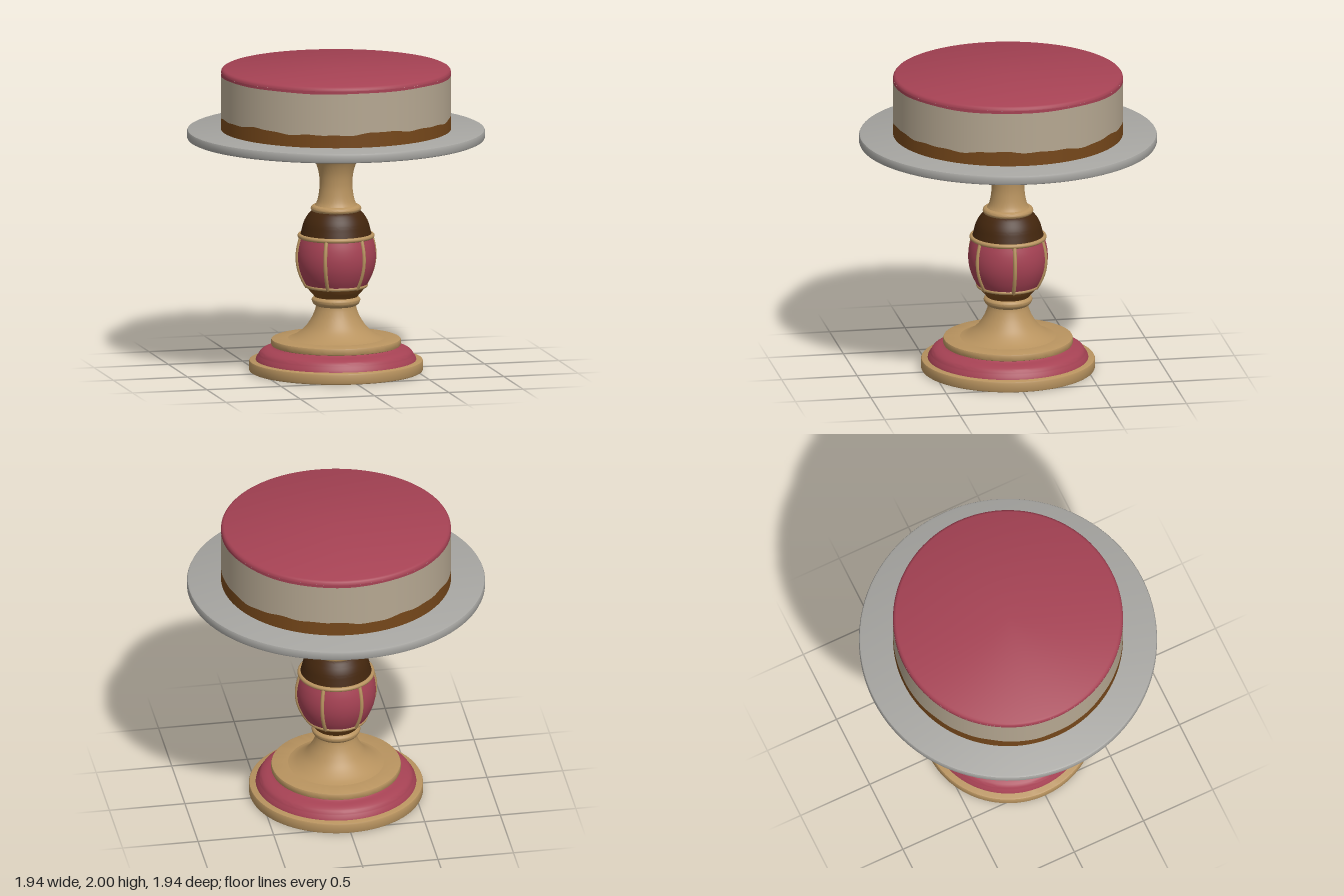
import * as THREE from 'three';
import { toCreasedNormals } from 'three/addons/utils/BufferGeometryUtils.js';

const SEGMENTS = 96;

function material(name, color) {
  const m = new THREE.MeshStandardMaterial({ color });
  m.name = name;
  return m;
}

// Smooth curve through [radius, height] points
function smooth(points, divisions = 24) {
  const curve = new THREE.SplineCurve(points.map(([r, y]) => new THREE.Vector2(r, y)));
  return curve.getPoints(divisions).map((p) => [p.x, p.y]);
}

// Rounded edge of a disc, from bottom to top
function discEdge(r, y0, y1, bevel) {
  const b = bevel * 0.3;
  return [
    [r - bevel, y0], [r - b, y0 + b], [r, y0 + bevel],
    [r, y1 - bevel], [r - b, y1 - b], [r - bevel, y1],
  ];
}

// Wavy seams around the cake
const crustLine = (a) => 1.687 + 0.007 * Math.sin(5 * a + 0.6) + 0.005 * Math.sin(11 * a) + 0.003 * Math.sin(23 * a + 1);
const icingLine = (a) => 1.957 + 0.002 * Math.sin(4 * a) + 0.0015 * Math.sin(9 * a + 2);

export function createModel() {
  const group = new THREE.Group();
  group.name = 'cakeOnStand';

  const wood = material('tan wood', 0xb8935f);
  const pink = material('raspberry pink', 0xa64254);
  const darkBrown = material('dark brown', 0x43260d);
  const brown = material('crust brown', 0x75471a);
  const cream = material('cream', 0xb5a791);
  const grey = material('plate grey', 0xa6a5a1);

  function add(name, geometry, mat) {
    const mesh = new THREE.Mesh(geometry, mat);
    mesh.name = name;
    group.add(mesh);
    return mesh;
  }

  function turned(name, points, mat) {
    const lathe = new THREE.LatheGeometry(points.map(([r, y]) => new THREE.Vector2(r, y)), SEGMENTS);
    return add(name, toCreasedNormals(lathe, 0.7), mat);
  }

  // Open band whose lower and upper edges follow functions of the angle
  function band(name, r, low, high, mat) {
    const g = new THREE.CylinderGeometry(r, r, 1, 192, 1, true);
    const pos = g.attributes.position;
    for (let i = 0; i < pos.count; i++) {
      const a = Math.atan2(pos.getX(i), pos.getZ(i));
      pos.setY(i, pos.getY(i) > 0 ? high(a) : low(a));
    }
    add(name, g, mat);
  }

  function ring(name, r, y, thickness) {
    const g = new THREE.TorusGeometry(r, thickness, 10, SEGMENTS);
    g.rotateX(Math.PI / 2);
    add(name, g, wood).position.y = y;
  }

  // Foot: slab, pink step, upper disc
  turned('footSlab', [[0, 0], ...discEdge(0.568, 0, 0.075, 0.012), [0, 0.075]], wood);
  turned('footPinkStep', [
    [0.525, 0.07], [0.52, 0.09],
    ...smooth([[0.508, 0.105], [0.493, 0.13], [0.46, 0.148], [0.42, 0.158], [0.4, 0.17]], 12),
  ], pink);
  turned('footDisc', [[0.38, 0.168], ...discEdge(0.423, 0.168, 0.215, 0.01), [0.3, 0.218]], wood);

  // Lower flare and its collar
  turned('lowerFlare', smooth([
    [0.33, 0.212], [0.27, 0.235], [0.205, 0.285], [0.16, 0.35], [0.135, 0.41], [0.128, 0.45],
  ]), wood);
  turned('lowerCollar', smooth([
    [0.125, 0.43], [0.148, 0.445], [0.159, 0.47], [0.148, 0.488], [0.12, 0.5],
  ], 14), wood);

  // Bulb: brown cup, pink body, dark dome
  turned('bulbCup', smooth([[0.135, 0.485], [0.15, 0.505], [0.172, 0.53], [0.195, 0.565]], 10), brown);
  const bodyProfile = smooth([
    [0.195, 0.56], [0.228, 0.62], [0.252, 0.69], [0.26, 0.76], [0.253, 0.83], [0.235, 0.895],
  ]);
  turned('bulbBody', bodyProfile, pink);
  turned('bulbDome', smooth([
    [0.235, 0.893], [0.223, 0.94], [0.21, 0.985], [0.188, 1.025], [0.155, 1.06], [0.1, 1.075],
  ]), darkBrown);
  ring('bulbLowerRing', 0.195, 0.567, 0.013);
  ring('bulbUpperRing', 0.237, 0.895, 0.015);

  // Six ribs over the pink body
  for (let i = 0; i < 6; i++) {
    const a = Math.PI / 6 + (i * Math.PI) / 3;
    const path = new THREE.CatmullRomCurve3(bodyProfile.filter((_, j) => j % 3 === 0)
      .map(([r, y]) => new THREE.Vector3(r * Math.sin(a), y, r * Math.cos(a))));
    add('bulbRib', new THREE.TubeGeometry(path, 24, 0.013, 8), wood);
  }

  // Neck with collar, opening into the plate support
  turned('neckCollar', smooth([
    [0.13, 1.05], [0.155, 1.058], [0.165, 1.075], [0.155, 1.093], [0.125, 1.1],
  ], 14), wood);
  turned('neck', smooth([
    [0.142, 1.09], [0.125, 1.12], [0.113, 1.17], [0.107, 1.24], [0.115, 1.32],
    [0.145, 1.4], [0.195, 1.45], [0.26, 1.478], [0.34, 1.49],
  ], 36), wood);
  turned('supportDisc', [[0.32, 1.49], ...discEdge(0.362, 1.488, 1.515, 0.008)], wood);
  turned('supportRim', [[0.34, 1.515], [0.5, 1.515], [0.515, 1.525], [0.518, 1.54]], wood);

  // Plate
  turned('plate', [[0, 1.535], ...discEdge(0.972, 1.535, 1.6, 0.015), [0, 1.6]], grey);

  // Cake: crust, cream filling, pink icing
  band('cakeCrust', 0.75, () => 1.595, crustLine, brown);
  band('cakeFilling', 0.75, crustLine, icingLine, cream);
  band('icingEdge', 0.75, icingLine, () => 1.975, pink);
  turned('icingTop', [[0.75, 1.975], [0.748, 1.985], [0.742, 1.994], [0.73, 2], [0, 2]], pink);

  return group;
}
